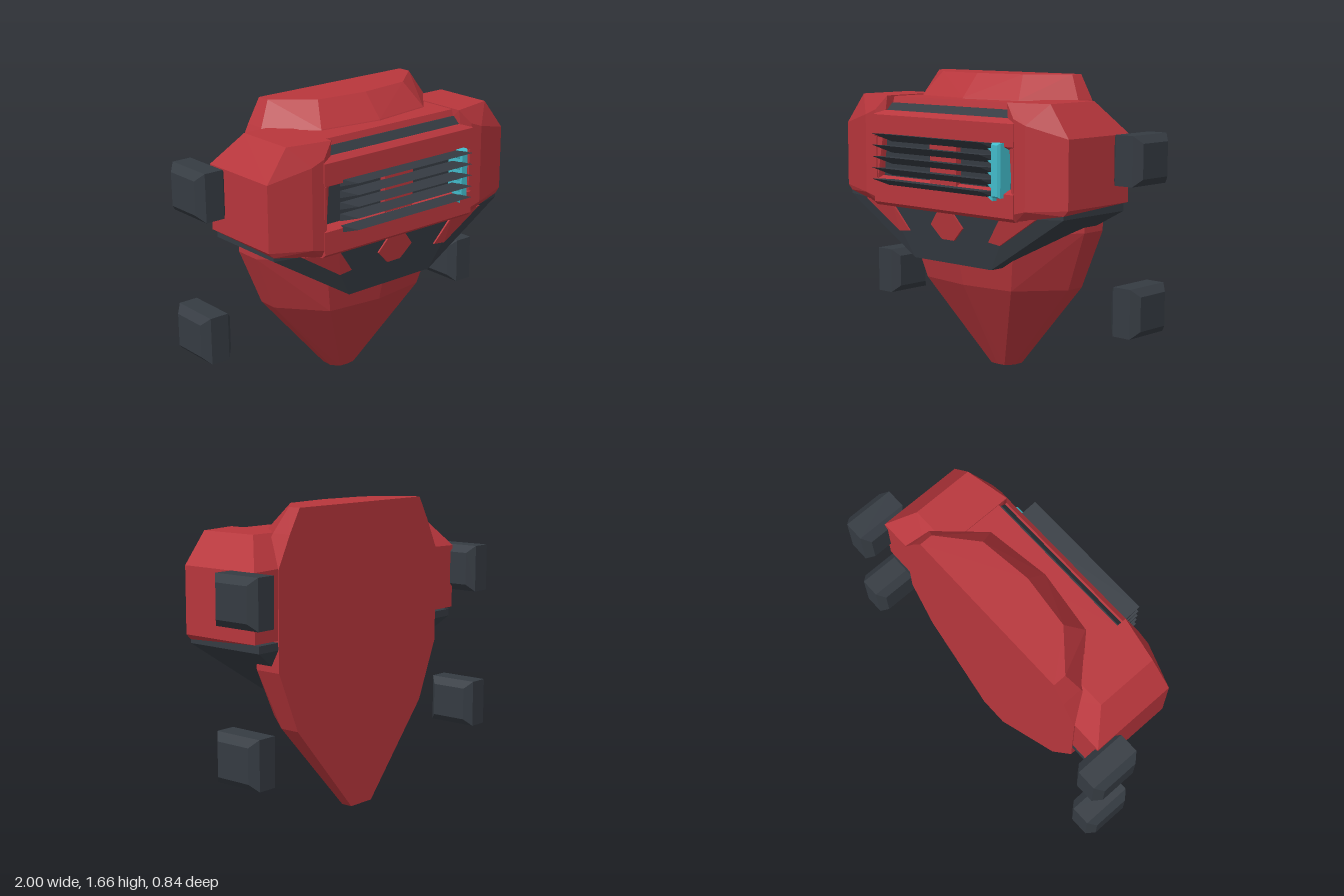
import * as THREE from 'three';
import { ConvexGeometry } from 'three/addons/geometries/ConvexGeometry.js';

export function createModel() {
  const root = new THREE.Group();
  const mat = (name, color) => Object.assign(new THREE.MeshStandardMaterial({ color }), { name });
  const red = mat('red armour', 0xb8363c);
  const dark = mat('dark slate', 0x353b42);
  const cyan = mat('cyan', 0x42bccb);

  const add = (name, geometry, material) => {
    const mesh = new THREE.Mesh(geometry, material);
    mesh.name = name;
    root.add(mesh);
    return mesh;
  };
  // Faceted solid spanning corner points; "both" adds the x-mirrored corners
  const solid = (name, pts, material, { flip = 1, both = false } = {}) => {
    const v = [];
    for (const [x, y, z] of pts) {
      v.push(new THREE.Vector3(x * flip, y, z));
      if (both && x !== 0) v.push(new THREE.Vector3(-x, y, z));
    }
    return add(name, new ConvexGeometry(v), material);
  };
  const pair = (name, pts, material) => {
    solid(name + 'Left', pts, material);
    solid(name + 'Right', pts, material, { flip: -1 });
  };
  const box = (name, x0, x1, y0, y1, z0, z1, material) => {
    const g = new THREE.BoxGeometry(x1 - x0, y1 - y0, z1 - z0);
    g.translate((x0 + x1) / 2, (y0 + y1) / 2, (z0 + z1) / 2);
    return add(name, g, material);
  };
  // Bar across x with a [y, z] cross-section
  const bar = (name, halfWidth, section, material) =>
    solid(name, section.map(([y, z]) => [halfWidth, y, z]), material, { both: true });

  // Shield-shaped core: y, outer x, outer z, inner x, inner z, centre z
  const core = [
    [0, 0.085, -0.21, 0.05, -0.165, -0.16],
    [0.5, 0.52, -0.16, 0.32, 0.08, 0.12],
    [0.83, 0.66, -0.12, 0.4, 0.15, 0.2],
    [1.36, 0.66, -0.12, 0.42, 0.15, 0.2],
    [1.53, 0.575, -0.16, 0.36, 0.07, 0.12],
    [1.66, 0.5, -0.2, 0.3, -0.03, 0.005],
  ].flatMap(([y, x1, z1, x2, z2, z3]) => [[x1, y, -0.275], [x1, y, z1], [x2, y, z2], [0, y, z3]]);
  solid('core', core, red, { both: true });

  // Shoulder blocks
  pair('shoulder', [
    [0.45, 1.37, -0.27], [0.83, 1.36, -0.27], [0.45, 1, -0.27], [0.83, 1, -0.27],
    [0.45, 1.53, -0.14], [0.7, 1.53, -0.14], [0.45, 1.53, 0.26], [0.7, 1.53, 0.21],
    [0.83, 1.36, 0.22], [0.83, 1, 0.22], [0.8, 0.97, 0.22],
    [0.52, 1.45, 0.288], [0.6, 1.42, 0.288], [0.6, 0.98, 0.288], [0.52, 0.96, 0.288], [0.52, 0.92, 0.265],
  ], red);

  // Chest between the shoulders, with a dark groove along its upper edge
  bar('chest', 0.46, [[1.525, -0.1], [1.525, 0.205], [1.49, 0.215], [0.92, 0.215], [0.92, -0.1]], red);
  bar('chestGroove', 0.47, [[1.49, 0.2], [1.49, 0.222], [1.44, 0.262], [1.4, 0.262], [1.4, 0.2]], dark);

  // Grille surround: upper and lower lips with a dark recess between them
  bar('upperLip', 0.525, [[1.45, 0.2], [1.45, 0.265], [1.425, 0.294], [1.305, 0.294], [1.285, 0.25], [1.285, 0.2]], red);
  bar('lowerLip', 0.525, [[1.08, 0.2], [1.08, 0.25], [1.06, 0.294], [0.935, 0.294], [0.915, 0.27], [0.915, 0.2]], red);
  box('grilleRecess', -0.521, 0.521, 1.07, 1.3, 0.19, 0.24, dark);
  for (const s of [-1, 1]) box('recessCheek', s * 0.515 - 0.006, s * 0.515 + 0.006, 1.07, 1.3, 0.2, 0.291, red);
  box('grilleBacking', -0.1, 0.1, 1.07, 1.3, 0.23, 0.275, red);

  // Pointed slats, each with a small lug on the side bar
  for (let i = 0; i < 5; i++) {
    const y = 1.333 - i * 0.0625;
    bar('slat', 0.405, [[y, 0.42], [y - 0.015, 0.27], [y - 0.055, 0.27]], dark);
    solid('sideBarLug', [[0.375, y - 0.04, 0.325], [0.41, y - 0.025, 0.325], [0.41, y - 0.06, 0.325],
      [0.375, y - 0.04, 0.27], [0.41, y - 0.025, 0.27], [0.41, y - 0.06, 0.27]], cyan);
  }
  const sideBar = [];
  for (const [inset, z] of [[0, 0.24], [0, 0.32], [0.01, 0.335]])
    for (const x of [0.4 + inset, 0.46 - inset])
      for (const y of [1.04 + inset, 1.325 - inset]) sideBar.push([x, y, z]);
  solid('sideBar', sideBar, cyan);

  // Dark belly band wrapping below the shoulders
  solid('bellyBand', [
    [0.8, 0.99, -0.27], [0.8, 0.95, -0.27], [0.8, 0.99, 0.22], [0.8, 0.95, 0.22],
    [0.29, 0.63, -0.1], [0.29, 0.63, 0.205], [0.46, 0.93, 0.255], [0.46, 0.99, 0.255],
  ], dark, { both: true });

  // Red trim on the band: centre boss and side claws
  const boss = [[0.06, 0.915], [0.12, 0.84], [0.045, 0.765]];
  solid('centreBoss', [...boss.map(([x, y]) => [x, y, 0.2]),
    ...boss.map(([x, y]) => [x, y, 0.262 - (0.915 - y) * 0.15])], red, { both: true });
  const claw = [[0.41, 0.93, 0.268], [0.64, 0.94, 0.252], [0.38, 0.775, 0.238], [0.3, 0.785, 0.24]];
  pair('claw', [...claw, ...claw.map(([x, y]) => [x, y, 0.2])], red);

  // Four chamfered pads beside the body
  for (const s of [-1, 1]) {
    for (const cy of [0.435, 1.232]) {
      const pts = [];
      for (const [dx, inset] of [[0.095, 0.04], [0.055, 0]])
        for (const a of [-1, 1])
          for (const b of [-1, 1])
            for (const c of [-1, 1])
              pts.push([0.905 + a * dx, cy + b * (0.132 - inset), -0.275 + c * (0.145 - inset)]);
      solid(cy > 1 ? 'upperPad' : 'lowerPad', pts, dark, { flip: s });
    }
  }
  return root;
}
